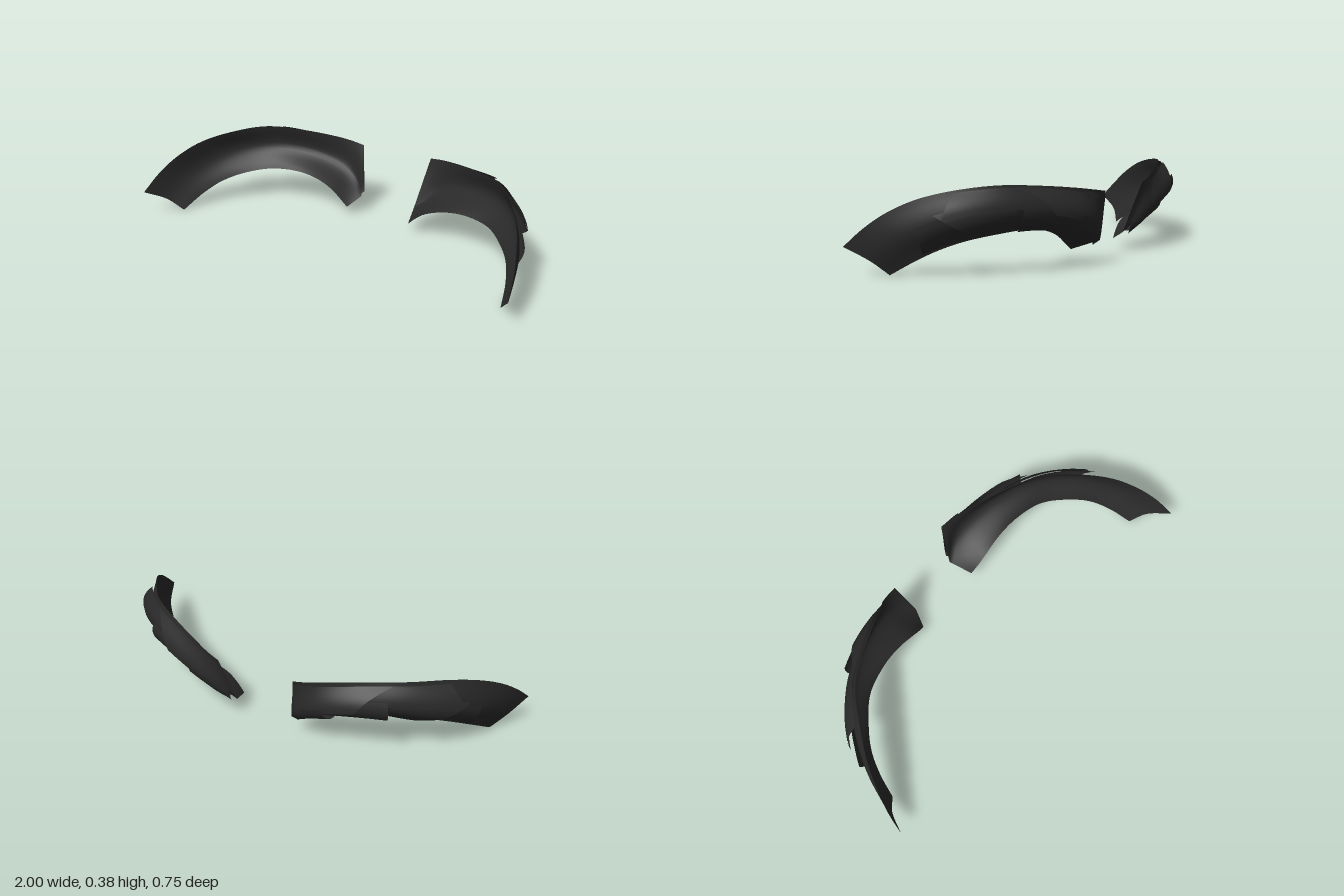
import * as THREE from 'three';

// Edges and belly line of one curved band, from the outer tip to the inner end
const LOWER = [[.89, 0, .23], [.855, .06, .13], [.805, .11, .04], [.73, .145, -.04], [.62, .168, -.125],
  [.48, .172, -.165], [.36, .155, -.175], [.26, .12, -.172], [.21, .085, -.175], [.165, .045, -.183]];
const BELLY = [[.948, .062, .283], [.93, .125, .2], [.897, .18, .105], [.84, .225, .008], [.745, .26, -.11],
  [.608, .268, -.212], [.435, .245, -.288], [.29, .2, -.322], [.2, .145, -.32], [.13, .085, -.29]];
const UPPER = [[1, .12, .385], [.975, .2, .295], [.935, .267, .205], [.875, .322, .1], [.79, .356, -.01],
  [.66, .377, -.15], [.48, .365, -.25], [.32, .345, -.32], [.24, .332, -.35], [.17, .32, -.367]];

// Shingled outer plates: u start, u end, v start, v end, slant of the ends, lift at each end
const PLATES = [
  [.22, .42, .06, .58, .10, .022, .008],
  [.38, .58, .08, .66, -.07, .040, .014],
  [.40, .66, .56, .94, .09, .042, .018],
  [.55, .76, .10, .68, .06, .050, .022],
  [.62, .86, .54, .95, -.06, .052, .026],
  [.73, .95, .12, .62, .05, .044, .016],
  [.83, .985, .45, .97, .02, .032, .024],
];

function bandSurface(side) {
  // the right band ends slightly farther out and less deep
  const inset = side < 0 ? 1 : 0;
  const curves = [LOWER, BELLY, UPPER].map(points => new THREE.CatmullRomCurve3(points.map(([x, y, z], i) => {
    const k = inset * Math.max(0, (i - 5) / 4);
    return new THREE.Vector3(x + .026 * k, y, z + .033 * k * (z < -.19 ? 1 : 0));
  })));
  // rounded cross-section that becomes an angled one at the inner end
  const point = (u, v) => {
    const [low, mid, high] = curves.map(c => c.getPoint(u));
    const angled = v < .5 ? low.clone().lerp(mid, v * 2) : mid.clone().lerp(high, v * 2 - 1);
    const rounded = new THREE.CatmullRomCurve3([low, mid, high]).getPoint(v);
    return rounded.lerp(angled, THREE.MathUtils.smoothstep(u, .8, 1));
  };
  // point raised outward from the band
  return (u, v, lift = 0) => {
    u = THREE.MathUtils.clamp(u, 0, 1);
    const p = point(u, v);
    if (lift) {
      const e = .02;
      const du = point(Math.min(1, u + e), v).sub(point(Math.max(0, u - e), v));
      const dv = point(u, Math.min(1, v + e)).sub(point(u, Math.max(0, v - e)));
      p.addScaledVector(du.cross(dv).normalize(), lift);
    }
    p.x *= side;
    return p;
  };
}

// Grid of faces from a rule giving a point for column i and row j
function gridGeometry(columns, rows, side, rule) {
  const positions = [], index = [];
  for (let i = 0; i <= columns; i++) {
    for (let j = 0; j <= rows; j++) positions.push(...rule(i, j).toArray());
  }
  for (let i = 0; i < columns; i++) {
    for (let j = 0; j < rows; j++) {
      const a = i * (rows + 1) + j, b = a + rows + 1;
      if (side > 0) index.push(a, b, b + 1, a, b + 1, a + 1);
      else index.push(a, b + 1, b, a, a + 1, b + 1);
    }
  }
  const geometry = new THREE.BufferGeometry();
  geometry.setAttribute('position', new THREE.Float32BufferAttribute(positions, 3));
  geometry.setIndex(index);
  geometry.computeVertexNormals();
  return geometry;
}

// Thin plate standing off the band, most at its free end and along its middle
function plateGeometry(surface, side, [u0, u1, v0, v1, slant, liftStart, liftEnd]) {
  const columns = 10, rows = 8;
  return gridGeometry(columns, rows, side, (i, j) => {
    const s = i / columns, t = j / rows;
    const u = THREE.MathUtils.lerp(u0, u1, s) + slant * (t - .5);
    const v = THREE.MathUtils.lerp(v0, v1, t);
    const lift = THREE.MathUtils.lerp(liftStart, liftEnd, s) * (.3 + .7 * Math.sin(Math.PI * v));
    return surface(u, v, lift);
  });
}

export function createModel() {
  const model = new THREE.Group();
  model.name = 'curvedBands';
  const charcoal = new THREE.MeshStandardMaterial({ color: 0x2a2a2a, side: THREE.DoubleSide });
  charcoal.name = 'charcoal';

  for (const side of [1, -1]) {
    const band = new THREE.Group();
    band.name = side > 0 ? 'leftBand' : 'rightBand';
    const surface = bandSurface(side);

    // Smooth inner shell
    const shell = new THREE.Mesh(gridGeometry(48, 14, side, (i, j) => surface(i / 48, j / 14)), charcoal);
    shell.name = 'shell';
    band.add(shell);

    // Overlapping plates on the outside
    PLATES.forEach((plate, i) => {
      const mesh = new THREE.Mesh(plateGeometry(surface, side, plate), charcoal);
      mesh.name = `outerPlate${i + 1}`;
      band.add(mesh);
    });
    model.add(band);
  }
  return model;
}
